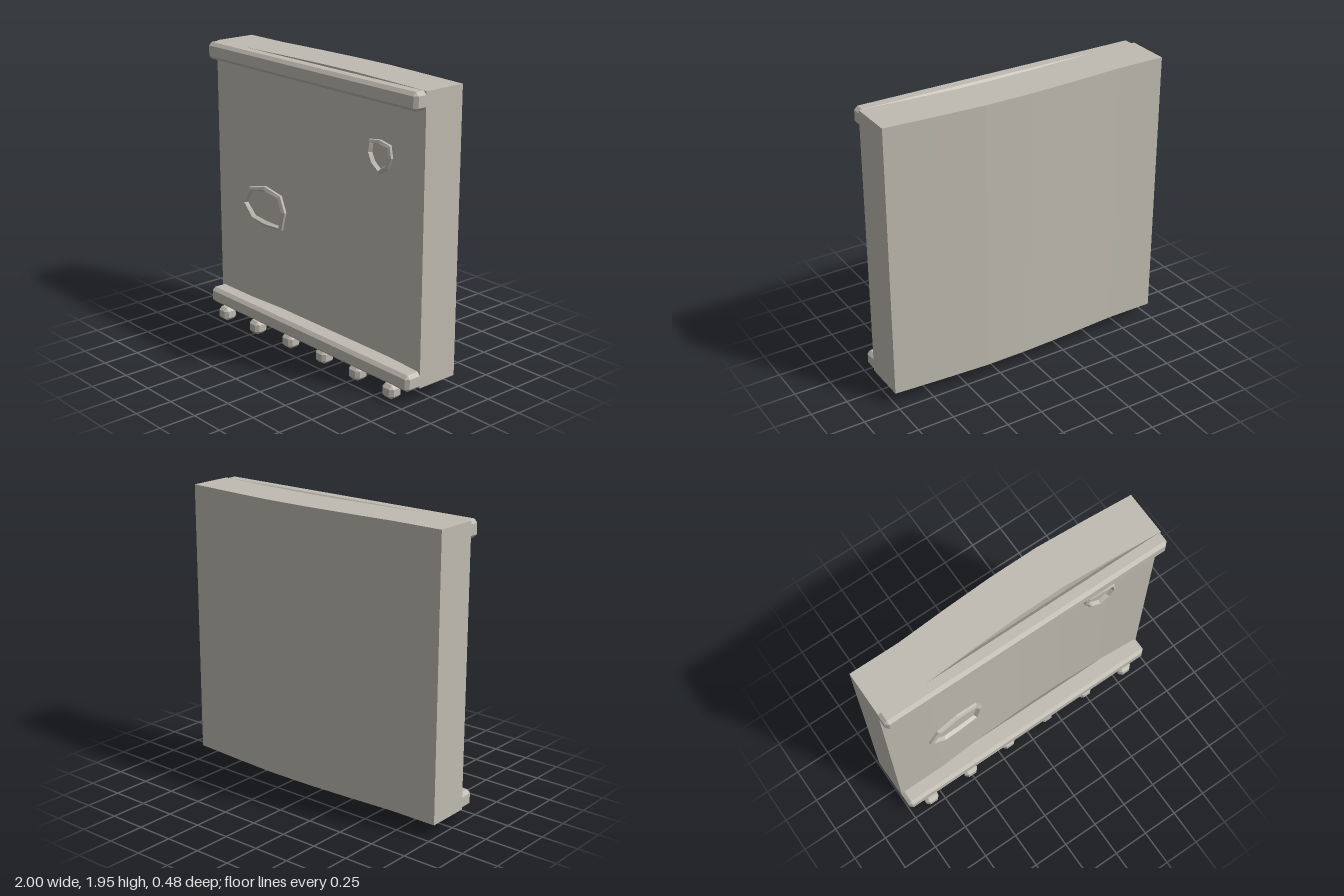
import * as THREE from 'three';
import { ConvexGeometry } from 'three/addons/geometries/ConvexGeometry.js';

const stone = new THREE.MeshStandardMaterial({ color: 0xbfbbb1 });
stone.name = 'pale stone';

// Depth of the gently bowed back face at seven even stations across the width
const BACK = [-0.2, -0.2, -0.221, -0.237, -0.24, -0.222, -0.2];
const THICK = 0.298;
const stationX = (i) => -1 + i / 3;

// Depth of the front face at any x
function frontZ(x) {
  const t = (x + 1) * 3;
  const i = Math.min(5, Math.max(0, Math.floor(t)));
  return THREE.MathUtils.lerp(BACK[i], BACK[i + 1], t - i) + THICK;
}

// Box with flat chamfers on every edge
function chamferBox(w, h, d, c) {
  const pts = [];
  for (const sx of [-1, 1]) for (const sy of [-1, 1]) for (const sz of [-1, 1]) {
    for (let a = 0; a < 3; a++) {
      const inset = [c, c, c];
      inset[a] = 0;
      pts.push(new THREE.Vector3(
        sx * (w / 2 - inset[0]), sy * (h / 2 - inset[1]), sz * (d / 2 - inset[2])));
    }
  }
  return new ConvexGeometry(pts);
}

// Raised bevelled ring around a counter-clockwise outline, following the wall
function ringGeometry(outline, width) {
  const cx = outline.reduce((s, p) => s + p[0], 0) / outline.length;
  const cy = outline.reduce((s, p) => s + p[1], 0) / outline.length;
  const section = [[0, -0.01], [0.1, 0.015], [0.55, 0.024], [1, -0.01]];
  const n = outline.length;
  const pos = [], idx = [];
  for (const [inset, lift] of section) {
    for (const [x, y] of outline) {
      const k = 1 - inset * width / Math.hypot(x - cx, y - cy);
      const px = cx + (x - cx) * k;
      pos.push(px, cy + (y - cy) * k, frontZ(px) + lift);
    }
  }
  for (let s = 0; s < section.length - 1; s++) {
    for (let i = 0; i < n; i++) {
      const j = (i + 1) % n;
      const a = s * n + i, b = s * n + j;
      idx.push(a, b, b + n, a, b + n, a + n);
    }
  }
  const g = new THREE.BufferGeometry();
  g.setAttribute('position', new THREE.Float32BufferAttribute(pos, 3));
  g.setIndex(idx);
  const flat = g.toNonIndexed();
  flat.computeVertexNormals();
  return flat;
}

export function createModel() {
  const model = new THREE.Group();
  model.name = 'wallSection';
  const add = (name, geometry, x = 0, y = 0, z = 0) => {
    const mesh = new THREE.Mesh(geometry, stone);
    mesh.name = name;
    mesh.position.set(x, y, z);
    model.add(mesh);
  };

  // Bowed wall slab, extruded upward from its plan
  const plan = new THREE.Shape();
  BACK.forEach((z, i) => (i ? plan.lineTo(stationX(i), -z - THICK) : plan.moveTo(stationX(i), -z - THICK)));
  for (let i = 6; i >= 0; i--) plan.lineTo(stationX(i), -BACK[i]);
  plan.closePath();
  const slab = new THREE.ExtrudeGeometry(plan, { depth: 1.86, bevelEnabled: false });
  slab.rotateX(-Math.PI / 2);
  add('wall', slab, 0, 0.09, 0);

  // Straight rails along the top and bottom of the front
  add('topRail', chamferBox(2, 0.115, 0.105, 0.022), 0, 1.8925, 0.1285);
  add('bottomRail', chamferBox(2, 0.11, 0.148, 0.022), 0, 0.14, 0.131);

  // Row of small pegs under the bottom rail, following the bow
  for (let i = 0; i < 6; i++) {
    const x = -5 / 6 + i / 3;
    add('peg', chamferBox(0.1, 0.092, 0.1, 0.022), x, 0.046, frontZ(x) + 0.088);
  }

  // Raised outlines on the front
  add('largeRing', ringGeometry([
    [-0.73, 0.88], [-0.64, 0.775], [-0.5, 0.745], [-0.335, 0.757],
    [-0.3, 0.89], [-0.345, 1.0], [-0.5, 1.037], [-0.66, 1.0],
  ], 0.05));
  add('smallRing', ringGeometry([
    [0.6, 1.362], [0.68, 1.41], [0.717, 1.485], [0.7, 1.565],
    [0.6, 1.582], [0.5, 1.565], [0.483, 1.485], [0.52, 1.41],
  ], 0.042));

  return model;
}
